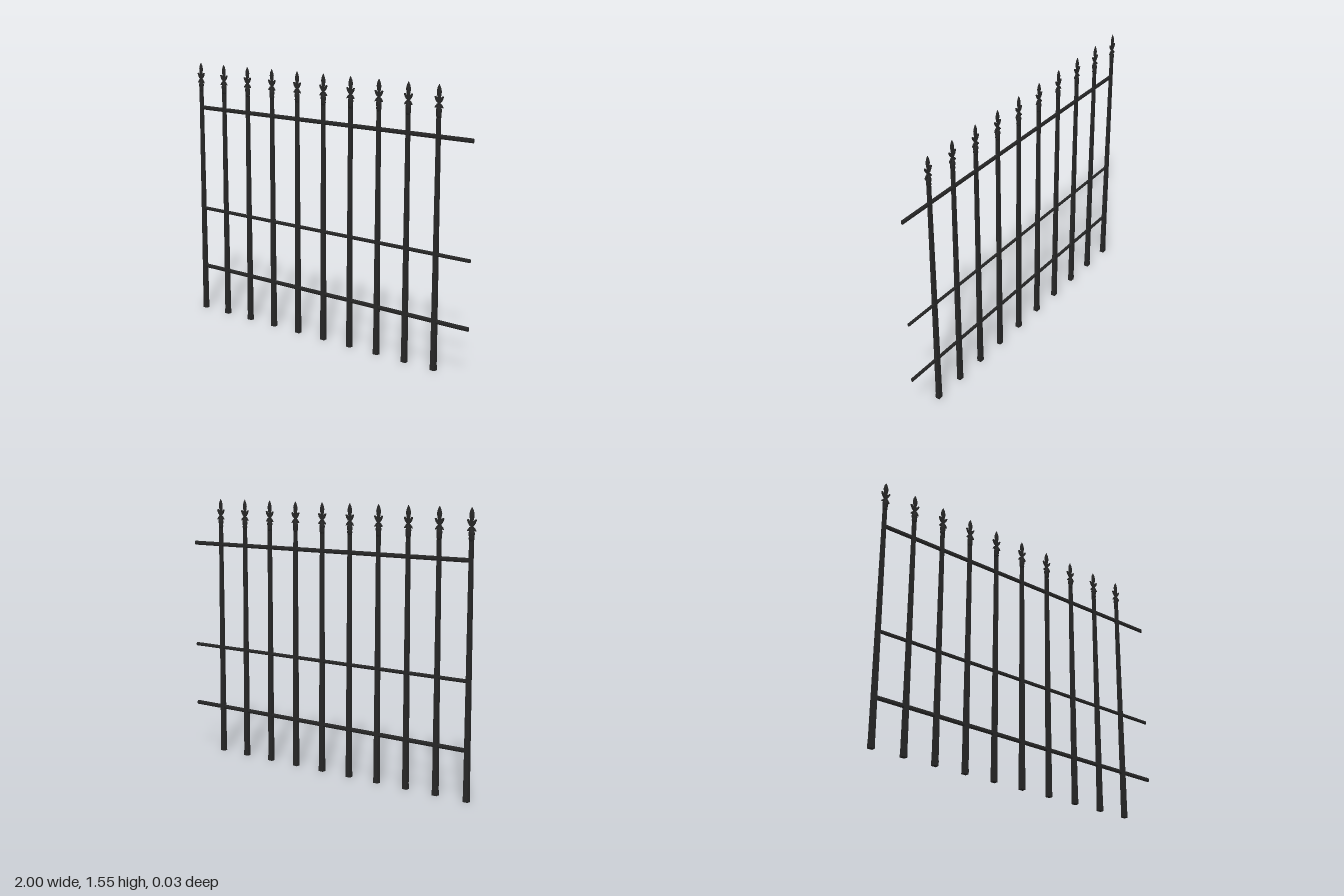
import * as THREE from 'three';

const iron = new THREE.MeshStandardMaterial({ color: 0x272727 });
iron.name = 'black iron';

function part(name, geometry, x = 0, y = 0, z = 0) {
  const mesh = new THREE.Mesh(geometry, iron);
  mesh.name = name;
  mesh.position.set(x, y, z);
  return mesh;
}

// Lathe from [radius, y] pairs, flattened front to back
function turned(points, sides, depth) {
  const g = new THREE.LatheGeometry(points.map(([r, y]) => new THREE.Vector2(r, y)), sides);
  return g.scale(1, 1, depth);
}

// Plate cut from an outline, centred on z = 0
function plate(points, thickness) {
  const shape = new THREE.Shape(points.map(([x, y]) => new THREE.Vector2(x, y)));
  const g = new THREE.ExtrudeGeometry(shape, { depth: thickness, bevelEnabled: false });
  return g.translate(0, 0, -thickness / 2);
}

// Square bar, wider at the foot than under the finial
const barGeometry = new THREE.CylinderGeometry(Math.SQRT1_2, Math.SQRT1_2, 1.39, 4, 1).toNonIndexed();
barGeometry.rotateY(Math.PI / 4).translate(0, 0.695, 0);
const pos = barGeometry.attributes.position;
for (let i = 0; i < pos.count; i++) {
  const t = pos.getY(i) / 1.39;
  pos.setX(i, pos.getX(i) * (0.029 - 0.007 * t));
  pos.setZ(i, pos.getZ(i) * (0.023 - 0.01 * t));
}
barGeometry.computeVertexNormals();
const footGeometry = new THREE.BoxGeometry(0.03, 0.03, 0.025);

// Finial pieces
const collarGeometry = turned([[0, 1.375], [0.012, 1.375], [0.016, 1.388], [0.015, 1.4],
  [0.017, 1.41], [0.017, 1.42], [0.012, 1.43], [0.008, 1.442], [0, 1.445]], 10, 0.74);
const spearGeometry = turned([[0, 1.43], [0.008, 1.435], [0.007, 1.46], [0.009, 1.475],
  [0.015, 1.503], [0.016, 1.513], [0.011, 1.532], [0.002, 1.549], [0, 1.55]], 8, 0.4);
const upperLeaf = [[0.002, 1.45], [0.012, 1.456], [0.021, 1.468], [0.028, 1.486],
  [0.021, 1.488], [0.014, 1.48], [0.002, 1.474]];
const lowerLeaf = [[0.003, 1.44], [0.01, 1.425], [0.018, 1.43], [0.026, 1.427],
  [0.022, 1.437], [0.013, 1.447], [0.003, 1.455]];
const mirror = (pts) => pts.map(([x, y]) => [-x, y]).reverse();
const leafGeometries = [upperLeaf, mirror(upperLeaf), lowerLeaf, mirror(lowerLeaf)]
  .map((pts) => plate(pts, 0.008));

// Rail with chamfered edges, lying along x
function railGeometry(height, depth) {
  const r = 0.5 / Math.cos(Math.PI / 8);
  const g = new THREE.CylinderGeometry(r, r, 1.972, 8).toNonIndexed();
  g.rotateY(Math.PI / 8).rotateZ(Math.PI / 2).scale(1, height, depth);
  g.computeVertexNormals();
  return g;
}

export function createModel() {
  const fence = new THREE.Group();
  fence.name = 'fence';

  // Ten uprights, each with a spear finial
  for (let i = 0; i < 10; i++) {
    const upright = new THREE.Group();
    upright.name = 'upright';
    upright.position.x = -0.972 + i * 0.195;
    upright.add(part('bar', barGeometry), part('foot', footGeometry, 0, 0.015));
    const finial = new THREE.Group();
    finial.name = 'finial';
    finial.add(part('collar', collarGeometry), part('spearHead', spearGeometry));
    leafGeometries.forEach((g) => finial.add(part('leaf', g)));
    upright.add(finial);
    fence.add(upright);
  }

  // Three rails running past the last upright, the middle one slimmer
  for (const [y, height] of [[0.277, 0.024], [0.648, 0.02], [1.278, 0.024]]) {
    fence.add(part('rail', railGeometry(height, 0.013), 0.014, y));
  }

  return fence;
}
